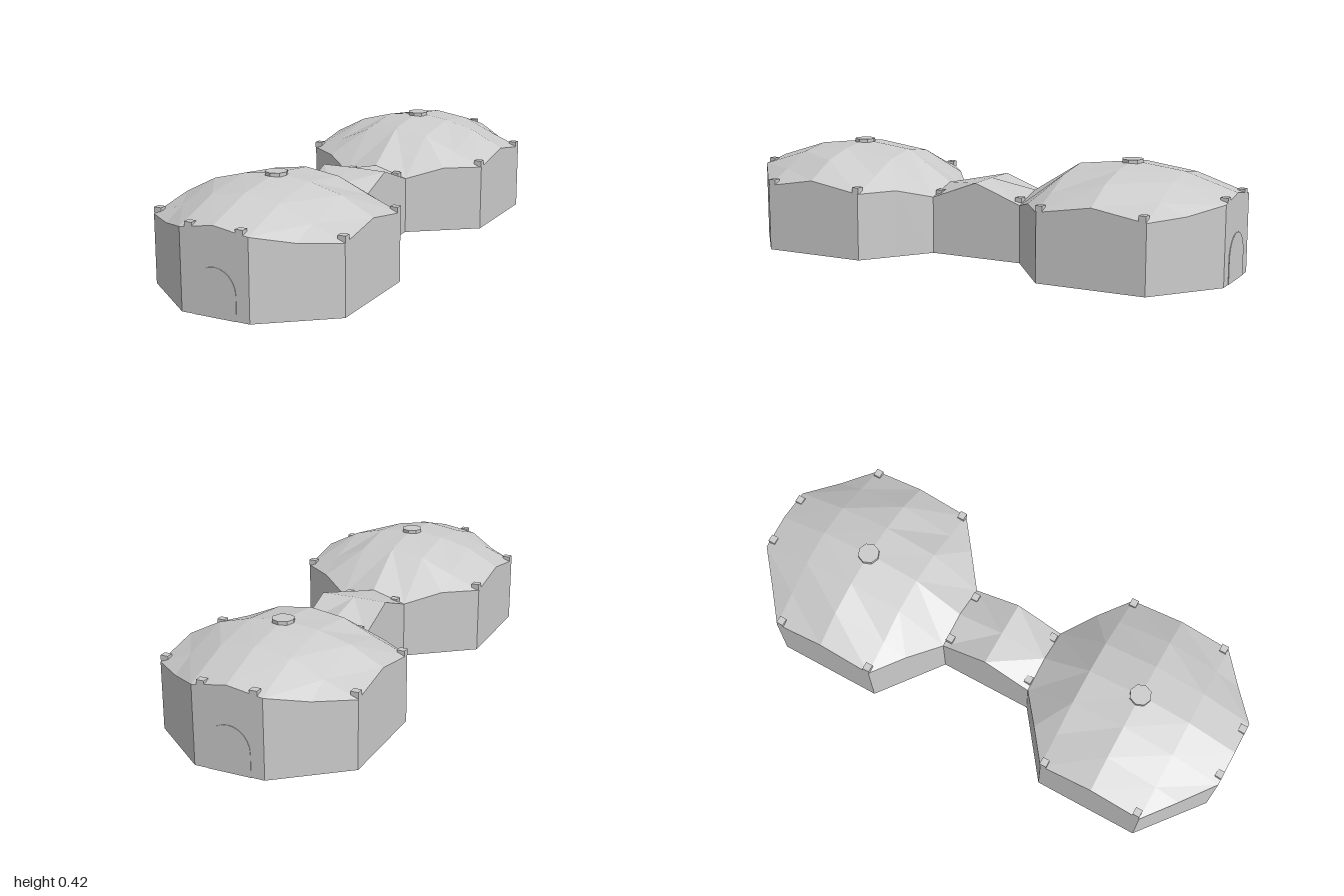
import * as THREE from 'three';

const material = new THREE.MeshStandardMaterial({ color: 0xcccccc, flatShading: true, side: THREE.DoubleSide });

// Height of the roof at x = 0, 0.135, 0.26, 0.385, row by row from the outer end to the corridor
const COLUMNS = [0, 0.135, 0.26, 0.385];
const ROWS = [
  { z: [1, 1, 0.9, 0.8], y: [0.322, 0.3, 0.27, 0.26] },
  { z: [0.8, 0.8, 0.8, 0.8], y: [0.385, 0.365, 0.31, 0.26] },
  { z: [0.593, 0.593, 0.593, 0.593], y: [0.41, 0.393, 0.36, 0.295] },
  { z: [0.38, 0.38, 0.38, 0.38], y: [0.385, 0.365, 0.31, 0.26] },
  { z: [0.19, 0.19, 0.285, 0.38], y: [0.265, 0.225, 0.262, 0.26] },
];

function add(parent, name, geometry) {
  const mesh = new THREE.Mesh(geometry, material);
  mesh.name = name;
  parent.add(mesh);
  return mesh;
}

// Skin between rows of points; the diagonals mirror across the middle column
function skin(rows) {
  const positions = [];
  const triangle = (a, b, c) => {
    const t = new THREE.Triangle(a, b, c);
    if (t.getArea() > 1e-7) for (const p of [a, b, c]) positions.push(p.x, p.y, p.z);
  };
  for (let j = 0; j < rows.length - 1; j++) {
    const n = rows[j].length - 1;
    for (let i = 0; i < n; i++) {
      const a = rows[j][i], b = rows[j][i + 1], c = rows[j + 1][i + 1], d = rows[j + 1][i];
      if (i < n / 2) { triangle(a, b, c); triangle(a, c, d); }
      else { triangle(a, b, d); triangle(b, c, d); }
    }
  }
  const geometry = new THREE.BufferGeometry();
  geometry.setAttribute('position', new THREE.Float32BufferAttribute(positions, 3));
  geometry.computeVertexNormals();
  return geometry;
}

// Mirror half a row of roof points onto -x
function fullRow({ z, y }) {
  const half = COLUMNS.map((x, i) => new THREE.Vector3(x, y[i], z[i]));
  const mirrored = half.slice(1).reverse().map(p => new THREE.Vector3(-p.x, p.y, p.z));
  return [...mirrored, ...half];
}

const toGround = points => points.map(p => new THREE.Vector3(p.x, 0, p.z));

// Flat ground sheet facing down
function floorGeometry(outline) {
  const shape = new THREE.Shape(outline.map(([x, z]) => new THREE.Vector2(x, z)));
  return new THREE.ShapeGeometry(shape).rotateX(Math.PI / 2);
}

function createTent() {
  const tent = new THREE.Group();
  const rows = ROWS.map(fullRow);
  // Rows run away from +z, so reverse them to face the roof upwards
  add(tent, 'roof', skin([...rows].reverse().map(r => [...r].reverse())));

  // Walls: outer end, then the two sides, then the inner diagonals
  const outer = rows[0], inner = rows[4];
  add(tent, 'outerWall', skin([toGround(outer), outer]));
  const rightEdge = rows.slice(1, 4).map(r => r[6]);
  const leftEdge = rows.slice(1, 4).map(r => r[0]).reverse();
  for (const edge of [rightEdge, leftEdge]) add(tent, 'sideWall', skin([toGround(edge), edge]));
  for (const part of [inner.slice(4).reverse(), inner.slice(0, 3).reverse()]) {
    add(tent, 'innerWall', skin([toGround(part), part]));
  }
  add(tent, 'floor', floorGeometry([
    [0.135, 0.19], [0.385, 0.38], [0.385, 0.8], [0.135, 1],
    [-0.135, 1], [-0.385, 0.8], [-0.385, 0.38], [-0.135, 0.19],
  ]));

  // Vent cap on the crown
  add(tent, 'roofCap', new THREE.CylinderGeometry(0.042, 0.042, 0.014, 8).rotateY(Math.PI / 2))
    .position.set(0, 0.41, 0.593);

  // Small blocks at the eaves
  for (const s of [1, -1]) {
    for (const [x, y, z] of [[0.1, 0.309, 0.986], [0.37, 0.273, 0.784], [0.37, 0.273, 0.39], [0.1, 0.239, 0.175]]) {
      add(tent, 'cornerBlock', new THREE.BoxGeometry(0.03, 0.024, 0.028)).position.set(s * x, y, z);
    }
  }

  // Arched door on the outer wall
  const arch = new THREE.Shape();
  arch.moveTo(-0.084, 0);
  arch.lineTo(0.084, 0);
  arch.lineTo(0.084, 0.09);
  arch.absellipse(0, 0.09, 0.084, 0.088, 0, Math.PI, false);
  arch.closePath();
  add(tent, 'door', new THREE.ExtrudeGeometry(arch, { depth: 0.004, bevelEnabled: false, curveSegments: 6 }))
    .position.z = 0.998;
  return tent;
}

function createCorridor() {
  const corridor = new THREE.Group();
  corridor.name = 'corridor';
  const row = (z, edge, middle) => [[-0.135, edge], [0, middle], [0.135, edge]]
    .map(([x, y]) => new THREE.Vector3(x, y, z));
  const rows = [row(0.19, 0.225, 0.265), row(0, 0.296, 0.298), row(-0.19, 0.225, 0.265)];
  add(corridor, 'corridorRoof', skin([...rows].reverse().map(r => [...r].reverse())));
  const right = rows.map(r => r[2]);
  const left = rows.map(r => r[0]).reverse();
  for (const edge of [right, left]) add(corridor, 'corridorWall', skin([toGround(edge), edge]));
  add(corridor, 'corridorFloor', floorGeometry([[-0.135, -0.19], [0.135, -0.19], [0.135, 0.19], [-0.135, 0.19]]));
  return corridor;
}

export function createModel() {
  const model = new THREE.Group();
  const front = createTent();
  front.name = 'frontTent';
  const back = createTent();
  back.name = 'backTent';
  back.rotation.y = Math.PI;
  model.add(front, back, createCorridor());
  return model;
}
